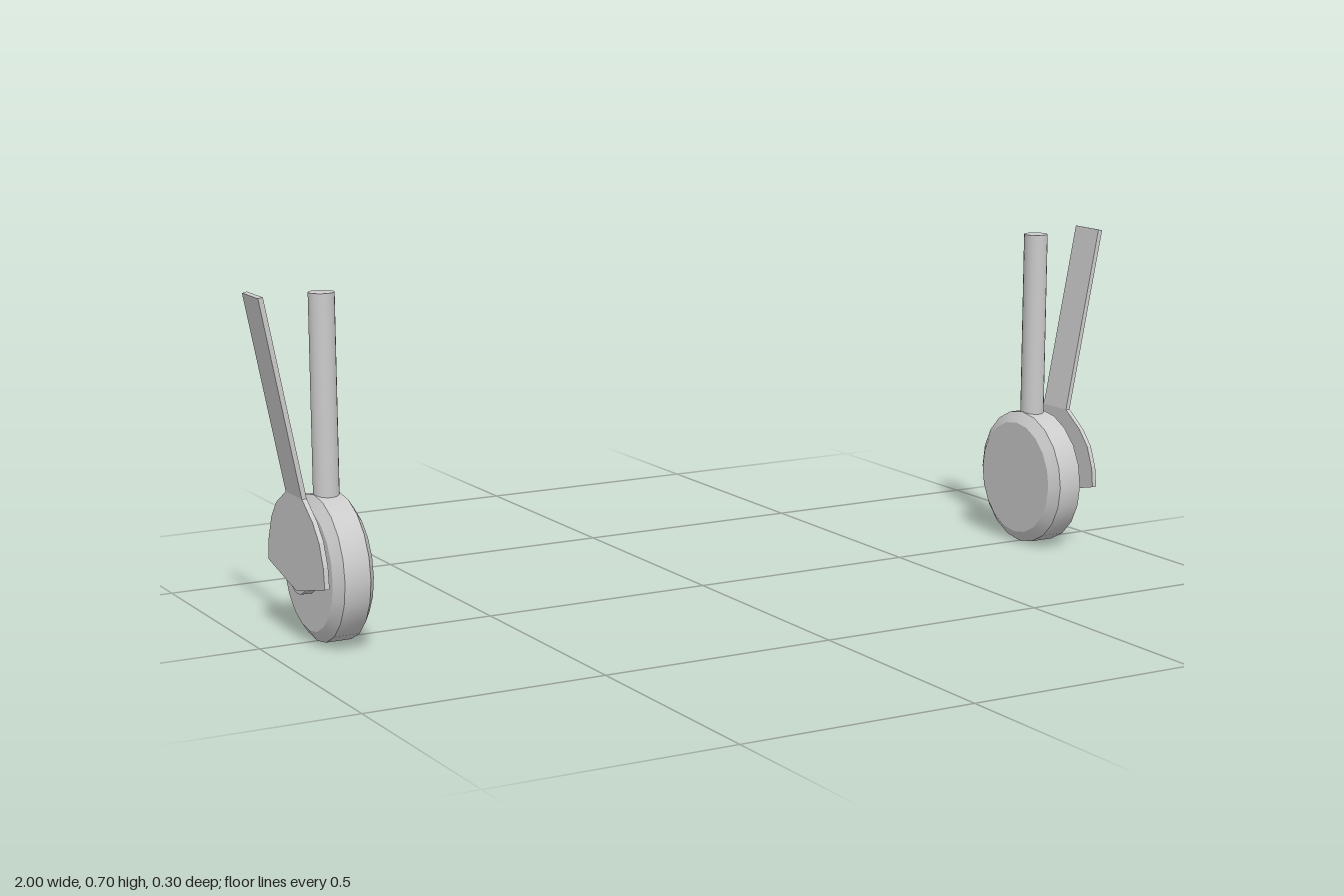
import * as THREE from 'three';
import { toCreasedNormals } from 'three/addons/utils/BufferGeometryUtils.js';

const material = new THREE.MeshStandardMaterial({ color: 0xcccccc });

function part(name, geometry, parent) {
  const mesh = new THREE.Mesh(geometry, material);
  mesh.name = name;
  parent.add(mesh);
  return mesh;
}

const shapeFrom = (points) => new THREE.Shape(points.map(([x, y]) => new THREE.Vector2(x, y)));

// One wheel with its post, hub, cover plate and strap; side is +1 or -1
function createSide(side) {
  const group = new THREE.Group();
  group.name = side > 0 ? 'leftWheelAssembly' : 'rightWheelAssembly';
  const wheelX = side * 0.852;
  const wheelY = 0.148;

  // Chamfered disc
  const profile = [[0, -0.043], [0.125, -0.043], [0.148, -0.027], [0.148, 0.027], [0.125, 0.043], [0, 0.043]];
  const disc = new THREE.LatheGeometry(profile.map(([r, y]) => new THREE.Vector2(r, y)), 20);
  disc.rotateZ(-Math.PI / 2);
  part('wheel', toCreasedNormals(disc, 0.45), group).position.set(wheelX, wheelY, 0);

  // Upright round post
  part('post', new THREE.CylinderGeometry(0.026, 0.026, 0.415, 20), group).position.set(wheelX, 0.4875, 0);

  // Short hub between wheel and cover
  const hub = new THREE.CylinderGeometry(0.051, 0.051, 0.028, 20).rotateZ(Math.PI / 2);
  part('hub', hub, group).position.set(side * 0.903, 0.151, 0);

  // Thin cover plate, outlined in z and y
  const plate = new THREE.ExtrudeGeometry(shapeFrom([
    [0.005, 0.108], [-0.14, 0.142], [-0.135, 0.187], [-0.118, 0.233], [-0.09, 0.268], [-0.037, 0.3],
    [0.046, 0.3], [0.097, 0.264], [0.127, 0.23], [0.145, 0.185], [0.15, 0.142],
  ]), { depth: 0.01, bevelEnabled: false });
  plate.translate(0, 0, -0.005).rotateY(-Math.PI / 2);
  part('coverPlate', plate, group).position.x = side * 0.917;

  // Strap leaning outward from the plate's top edge
  const strap = new THREE.ExtrudeGeometry(shapeFrom([
    [side * 0.912, 0.3], [side * 0.922, 0.3], [side, 0.699], [side * 0.99, 0.701],
  ]), { depth: 0.083, bevelEnabled: false });
  part('strap', strap, group).position.z = -0.037;

  return group;
}

export function createModel() {
  const model = new THREE.Group();
  model.name = 'wheelPair';
  for (const side of [1, -1]) model.add(createSide(side));
  return model;
}
